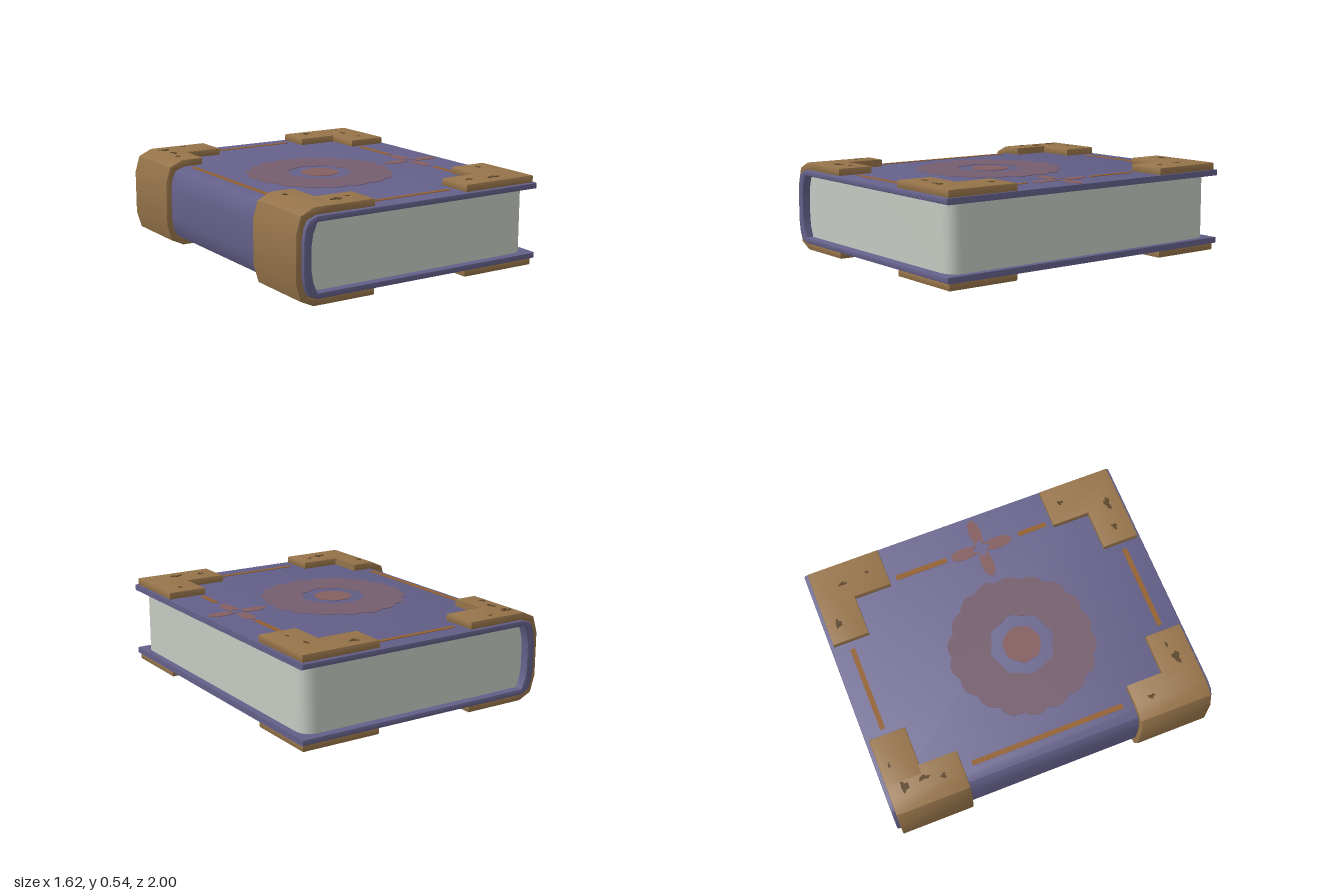
import * as THREE from 'three';
import { toCreasedNormals } from 'three/addons/utils/BufferGeometryUtils.js';

const mat = (name, color) => {
  const m = new THREE.MeshStandardMaterial({ color });
  m.name = name;
  return m;
};

export function createModel() {
  const book = new THREE.Group();
  book.name = 'book';
  const leather = mat('purple leather', 0x64608a);
  const paper = mat('grey paper', 0xc6cac2);
  const brass = mat('aged brass', 0x96744a);
  const tarnish = mat('dark tarnish', 0x5a4529);
  const faded = mat('faded rose ink', 0x755e6e);
  const rose = mat('rose ink', 0x845f60);
  const gilt = mat('orange gilt', 0x93602f);

  const MID = 0.27; // half height of the closed book
  const TOP = 0.495, BOTTOM = 0.045; // outer cover faces

  const toShape = (pts) => new THREE.Shape(pts.map(([x, y]) => new THREE.Vector2(x, y)));
  const add = (name, geometry, material) => {
    const mesh = new THREE.Mesh(geometry, material);
    mesh.name = name;
    book.add(mesh);
    return mesh;
  };
  // Extrusion running exactly from 0 to depth, with bevels kept inside the outline
  const extrude = (shape, depth, bevel = 0) => {
    const g = new THREE.ExtrudeGeometry(shape, {
      depth: depth - 2 * bevel, bevelEnabled: bevel > 0, bevelSize: bevel,
      bevelThickness: bevel, bevelOffset: -bevel, bevelSegments: 2, curveSegments: 10,
    });
    return toCreasedNormals(g.translate(0, 0, bevel), 0.6);
  };
  const alongZ = (pts, z0, z1, bevel) => extrude(toShape(pts), z1 - z0, bevel).translate(0, 0, z0);
  // Plan outlines are given in (x, -z) and rise from y0 to y1
  const slab = (shape, y0, y1, bevel) => extrude(shape, y1 - y0, bevel).rotateX(-Math.PI / 2).translate(0, y0, 0);
  // Completes an upper half profile with its reflection about the mid height
  const flip = (pts) => pts.map(([x, y]) => [x, 2 * MID - y]).reverse();

  // Cover: both boards and the rounded spine in one profile
  const outer = [[0.81, TOP], [-0.69, TOP], [-0.745, 0.472], [-0.766, 0.43], [-0.778, 0.36]];
  const inner = [[-0.725, 0.34], [-0.715, 0.4], [-0.69, 0.46], [0.81, 0.46]];
  add('cover', alongZ([...outer, ...flip(outer), ...flip(inner), ...inner], -1, 1, 0.01), leather);

  // Page block with rounded fore-edge corners
  const r = 0.1, px = 0.77, pz = 0.952;
  const plan = new THREE.Shape();
  plan.moveTo(-0.685, -pz);
  plan.lineTo(px - r, -pz);
  plan.quadraticCurveTo(px, -pz, px, -pz + r);
  plan.lineTo(px, pz - r);
  plan.quadraticCurveTo(px, pz, px - r, pz);
  plan.lineTo(-0.685, pz);
  add('pages', slab(plan, 0.079, 0.461), paper);
  const bound = [[-0.68, 0.46], [-0.69, 0.46], [-0.712, 0.4], [-0.721, 0.34]];
  add('boundPageEdge', alongZ([...bound, ...flip(bound)], -pz, pz), paper);

  // Brass fittings
  const strap = [[-0.56, 0.538], [-0.70, 0.538], [-0.782, 0.5], [-0.812, 0.4]];
  const strapInner = [[-0.77, 0.36], [-0.762, 0.42], [-0.74, 0.468], [-0.69, 0.49], [-0.56, 0.49]];
  const strapProfile = [...strap, ...flip(strap), ...flip(strapInner), ...strapInner];
  for (const s of [-1, 1]) {
    const end = s < 0 ? 'back' : 'front';
    const [z0, z1] = s < 0 ? [-0.978, -0.53] : [0.53, 0.978];
    add(end + 'SpineStrap', alongZ(strapProfile, z0, z1, 0.008), brass);
    const arm = [[-0.62, 0.757], [-0.317, 0.757], [-0.317, 0.978], [-0.62, 0.978]];
    const corner = [[0.307, 0.757], [0.555, 0.757], [0.555, 0.53], [0.795, 0.53], [0.795, 0.978], [0.307, 0.978]];
    for (const [side, y0, y1] of [['Upper', 0.49, 0.538], ['Lower', 0.002, 0.05]]) {
      for (const [part, pts] of [['SpineArm', arm], ['CornerPlate', corner]]) {
        const shape = toShape(pts.map(([x, z]) => [x, -z * s]));
        add(end + side + part, slab(shape, y0, y1, 0.008), brass);
      }
    }
  }

  // Closed outline from a radius rule, centred at x, z
  const radial = (x, z, rule, n = 96, sx = 1, sz = 1) => {
    const pts = [];
    for (let i = 0; i < n; i++) {
      const a = (i / n) * Math.PI * 2, d = rule(a);
      pts.push([x + sx * d * Math.cos(a), -z + sz * d * Math.sin(a)]);
    }
    return toShape(pts);
  };
  // Lays a thin decoration on both boards
  const paint = (name, shape, material) => {
    add(name + 'Upper', slab(shape, TOP - 0.003, TOP + 0.003), material);
    add(name + 'Lower', slab(shape, BOTTOM - 0.003, BOTTOM + 0.003), material);
  };

  // Central rosette: scalloped ring around a disc
  const ring = radial(-0.08, 0.065, (a) => 0.42 + 0.022 * Math.abs(Math.sin(a * 9)) + 0.006 * Math.sin(a * 5), 180);
  ring.holes.push(radial(-0.08, 0.065, (a) => 0.187 + 0.007 * Math.cos(a * 8)));
  paint('rosetteRing', ring, faded);
  paint('rosetteCentre', radial(-0.08, 0.065, (a) => 0.113 + 0.003 * Math.sin(a * 7)), rose);

  // Four-petalled flower by the fore-edge
  const flower = radial(0.59, 0.065, (a) => 0.105 + 0.078 * Math.cos(4 * a) + 0.012 * Math.cos(8 * a));
  flower.holes.push(radial(0.59, 0.065, (a) => 0.042 + 0.01 * Math.cos(4 * a), 32));
  paint('flower', flower, rose);

  // Gilt border lines: x0, z0, x1, z1
  const lines = [
    [-0.27, -0.895, 0.26, -0.865], [-0.27, 0.86, 0.265, 0.89], [-0.667, -0.47, -0.637, 0.47],
    [0.578, -0.485, 0.61, -0.16], [0.58, 0.31, 0.61, 0.49],
  ];
  for (const [x0, z0, x1, z1] of lines) {
    paint('borderLine', toShape([[x0, -z1], [x1, -z1], [x1, -z0], [x0, -z0]]), gilt);
  }

  // Tarnish spots on the brass: x, z, half width, half length
  const spots = [
    [-0.65, -0.88, 0.035, 0.03], [-0.64, -0.76, 0.016, 0.04], [-0.5, -0.92, 0.018, 0.008], [-0.67, -0.65, 0.02, 0.018],
    [-0.5, 0.875, 0.045, 0.025], [-0.67, 0.64, 0.015, 0.025], [-0.41, 0.85, 0.02, 0.01],
    [0.425, -0.905, 0.03, 0.024], [0.66, -0.8, 0.012, 0.03], [0.68, -0.64, 0.012, 0.012],
    [0.57, 0.89, 0.05, 0.02], [0.41, 0.87, 0.025, 0.018], [0.68, 0.62, 0.015, 0.022],
  ];
  spots.forEach(([x, z, w, l], i) => {
    const blob = radial(x, z, (a) => 0.8 + 0.2 * Math.sin(a * 3 + i) + 0.15 * Math.sin(a * 5 + 2 * i), 28, w, l);
    add('tarnishSpotUpper', slab(blob, 0.536, 0.54), tarnish);
    add('tarnishSpotLower', slab(blob, 0, 0.004), tarnish);
  });

  return book;
}
